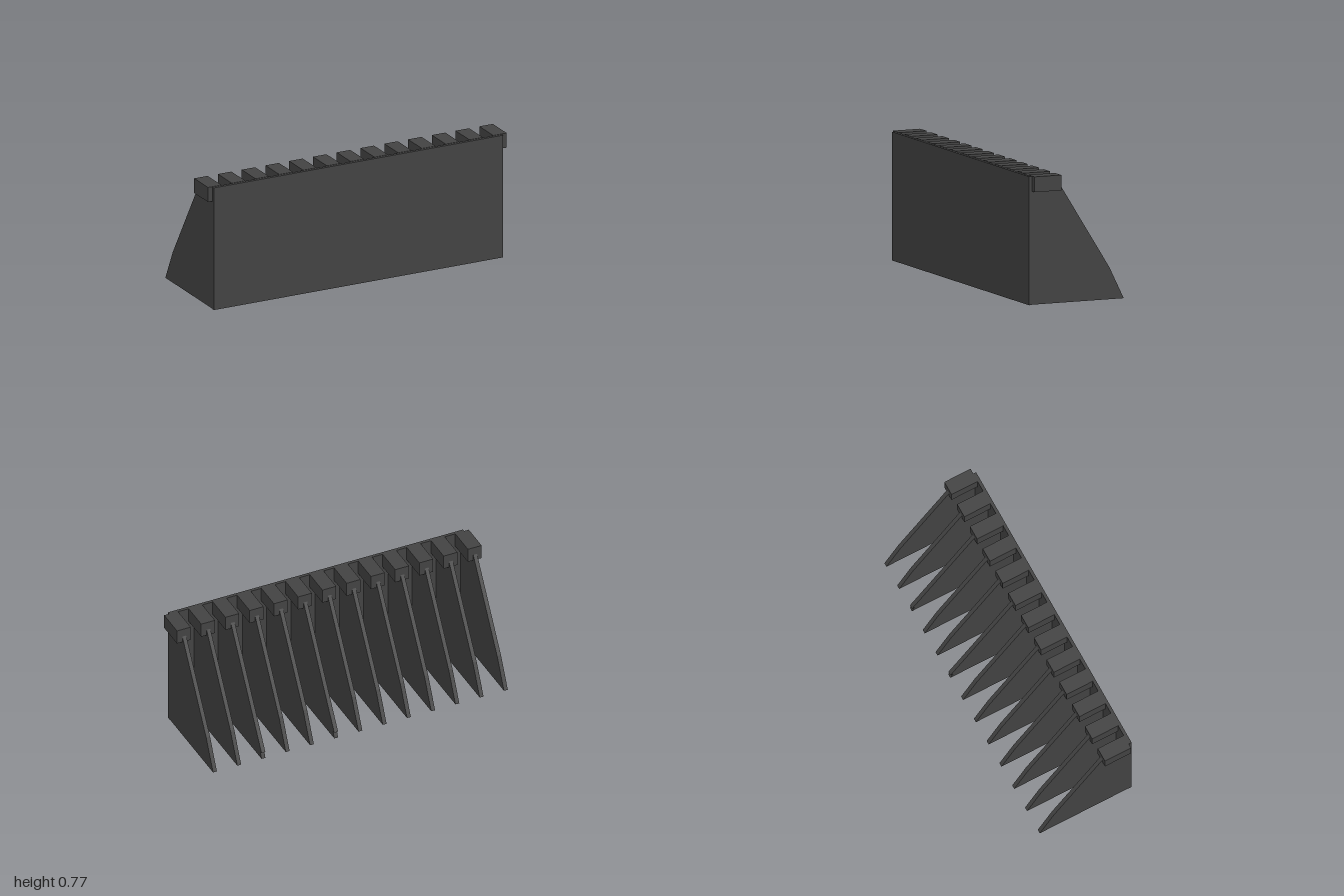
import * as THREE from 'three';

const COUNT = 13;
const SPACING = 0.159;
const FIN_WIDTH = 0.025;

export function createModel() {
  const model = new THREE.Group();
  model.name = 'finnedBarrier';
  const material = new THREE.MeshStandardMaterial({ color: 0x444444, flatShading: true });

  function add(name, geometry, x, y, z) {
    const mesh = new THREE.Mesh(geometry, material);
    mesh.name = name;
    mesh.position.set(x, y, z);
    model.add(mesh);
  }

  // Side profile given as [z, y], extruded along x and centred on x = 0
  function finGeometry(profile) {
    const shape = new THREE.Shape(profile.map(([z, y]) => new THREE.Vector2(-z, y)));
    const geometry = new THREE.ExtrudeGeometry(shape, { depth: FIN_WIDTH, bevelEnabled: false });
    geometry.translate(0, 0, -FIN_WIDTH / 2);
    geometry.rotateY(Math.PI / 2);
    return geometry;
  }

  const upper = [[-0.213, 0.195], [0.115, 0.72], [0.125, 0.76], [0.295, 0.76]];
  const bentFin = finGeometry([[0.295, 0.002], [-0.307, 0.003], ...upper]);
  // Variant whose slope runs straight on to a small spur above the foot
  const spurFin = finGeometry([[0.295, 0], [-0.307, 0.003], [-0.288, 0.045], [-0.307, 0.045], ...upper]);

  // Flat front wall
  add('frontPanel', new THREE.BoxGeometry(1.935, 0.77, 0.02), -0.0025, 0.385, 0.3);

  // Row of support fins, each topped by a block
  const block = new THREE.BoxGeometry(0.09, 0.092, 0.176);
  for (let i = 0; i < COUNT; i++) {
    const x = (i - (COUNT - 1) / 2) * SPACING;
    const hasSpur = i === 7 || i === 10;
    add('supportFin', hasSpur ? spurFin : bentFin, x - 0.0025, 0, 0);
    add('topBlock', block, x, 0.726, 0.203);
  }

  return model;
}
